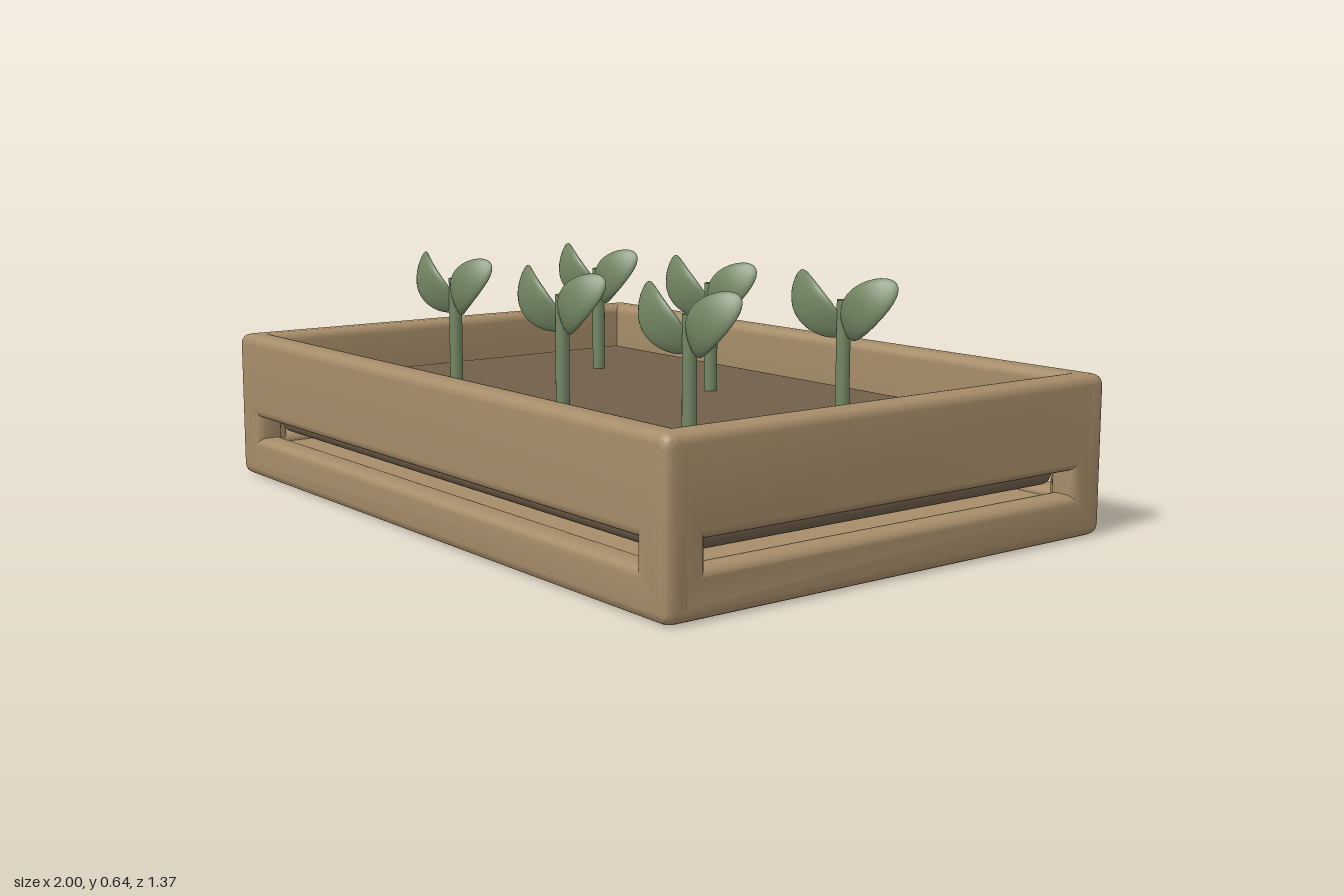
import * as THREE from 'three';
import { toCreasedNormals } from 'three/addons/utils/BufferGeometryUtils.js';
import { RoundedBoxGeometry } from 'three/addons/geometries/RoundedBoxGeometry.js';

const WIDTH = 2, DEPTH = 1.37, HEIGHT = 0.405, WALL = 0.08, BEVEL = 0.025;

// Rounded rectangle outline, centred on x, from y0 to y1
function outline(path, w, y0, y1, r) {
  const x = w / 2;
  path.moveTo(-x + r, y0);
  path.lineTo(x - r, y0);
  path.quadraticCurveTo(x, y0, x, y0 + r);
  path.lineTo(x, y1 - r);
  path.quadraticCurveTo(x, y1, x - r, y1);
  path.lineTo(-x + r, y1);
  path.quadraticCurveTo(-x, y1, -x, y1 - r);
  path.lineTo(-x, y0 + r);
  path.quadraticCurveTo(-x, y0, -x + r, y0);
  return path;
}

// Wall with a long slot, all edges rounded, thickness centred on z
function wallGeometry(length) {
  const shape = outline(new THREE.Shape(), length, 0, HEIGHT, 0.032);
  const x = length / 2 - 0.11, lo = 0.112, hi = 0.172;
  const slot = new THREE.Path();
  slot.moveTo(-x, lo);
  slot.lineTo(-x, hi);
  slot.lineTo(x, hi);
  slot.lineTo(x, lo);
  slot.closePath();
  shape.holes.push(slot);
  const geo = new THREE.ExtrudeGeometry(shape, {
    depth: WALL - 2 * BEVEL, curveSegments: 4,
    bevelEnabled: true, bevelThickness: BEVEL, bevelSize: BEVEL,
    bevelOffset: -BEVEL, bevelSegments: 5,
  });
  geo.translate(0, 0, -(WALL - 2 * BEVEL) / 2);
  return toCreasedNormals(geo, 0.6);
}

// Flattened ellipsoid bent backwards towards both tips
function leafGeometry() {
  const a = 0.112, b = 0.058;
  const geo = new THREE.SphereGeometry(1, 28, 18);
  const p = geo.attributes.position;
  for (let i = 0; i < p.count; i++) {
    const u = p.getX(i), v = p.getY(i);
    p.setXYZ(i, u * a, v * b, p.getZ(i) * 0.016 - 0.038 * u * u);
  }
  geo.computeVertexNormals();
  return geo;
}

export function createModel() {
  const wood = new THREE.MeshStandardMaterial({ color: 0xa68c69 });
  wood.name = 'wood';
  const earth = new THREE.MeshStandardMaterial({ color: 0x705f4a });
  earth.name = 'soil';
  const green = new THREE.MeshStandardMaterial({ color: 0x728663 });
  green.name = 'leaf green';

  const model = new THREE.Group();
  model.name = 'seedlingTray';
  const add = (parent, name, geo, mat, x, y, z) => {
    const mesh = new THREE.Mesh(geo, mat);
    mesh.name = name;
    mesh.position.set(x, y, z);
    parent.add(mesh);
    return mesh;
  };

  // Slotted walls
  const longWall = wallGeometry(WIDTH), shortWall = wallGeometry(DEPTH);
  const zWall = (DEPTH - WALL) / 2, xWall = (WIDTH - WALL) / 2;
  add(model, 'frontWall', longWall, wood, 0, 0, zWall);
  add(model, 'backWall', longWall, wood, 0, 0, -zWall);
  add(model, 'leftWall', shortWall, wood, xWall, 0, 0).rotation.y = Math.PI / 2;
  add(model, 'rightWall', shortWall, wood, -xWall, 0, 0).rotation.y = Math.PI / 2;

  // Floor and soil slab
  add(model, 'floor', new THREE.BoxGeometry(WIDTH - WALL, 0.09, DEPTH - WALL), wood, 0, 0.045, 0);
  add(model, 'soil', new RoundedBoxGeometry(1.84, 0.155, 1.21, 4, 0.03), earth, 0, 0.2, 0);

  // Two rows of three seedlings
  const stem = new THREE.CylinderGeometry(0.018, 0.018, 0.325, 20);
  const leaf = leafGeometry();
  for (const z of [-0.247, 0.247]) {
    for (const x of [-0.525, 0, 0.525]) {
      const plant = new THREE.Group();
      plant.name = 'seedling';
      plant.position.set(x, 0, z);
      model.add(plant);
      add(plant, 'stem', stem, green, 0, 0.4125, 0);
      for (const side of [-1, 1]) {
        const name = side > 0 ? 'leftLeaf' : 'rightLeaf';
        add(plant, name, leaf, green, side * 0.092, 0.558, 0.032).rotation.z = side * 0.66;
      }
    }
  }
  return model;
}
